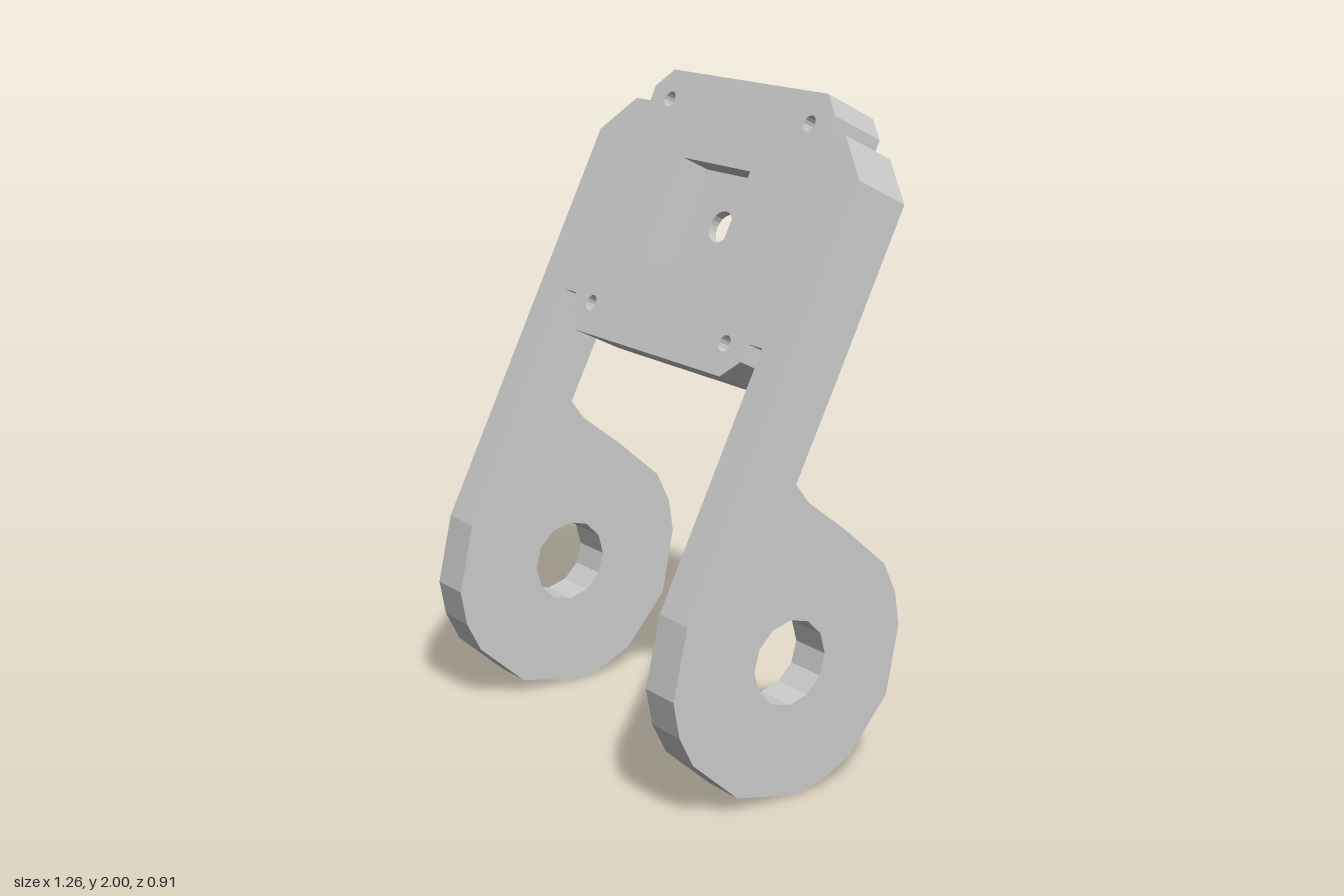
import * as THREE from 'three';

const material = new THREE.MeshStandardMaterial({ color: 0xcccccc, flatShading: true });
const pts = (list) => list.map(([x, y]) => new THREE.Vector2(x, y));

// Regular polygon used as a round hole
function roundHole(cx, cy, r, sides) {
  const ring = [];
  for (let i = 0; i < sides; i++) {
    const a = (i / sides) * Math.PI * 2;
    ring.push(new THREE.Vector2(cx + r * Math.cos(a), cy + r * Math.sin(a)));
  }
  return new THREE.Path(ring);
}

function slab(name, outline, holes, depth) {
  const shape = new THREE.Shape(pts(outline));
  shape.holes.push(...holes);
  const mesh = new THREE.Mesh(new THREE.ExtrudeGeometry(shape, { depth, bevelEnabled: false }), material);
  mesh.name = name;
  return mesh;
}

export function createModel() {
  const model = new THREE.Group();
  model.name = 'bracket';

  // Tilted mounting plate, stacked in layers from the front face backwards
  const plate = new THREE.Group();
  plate.name = 'mountingPlate';
  plate.position.set(0, 2, -0.285);
  plate.rotation.x = -Math.atan(0.5);
  model.add(plate);

  const half = [
    [0.37, -0.867], [0.433, -0.81], [0.433, -0.755], [0.63, -0.755], [0.63, -0.23],
    [0.505, -0.11], [0.433, -0.11], [0.433, -0.06], [0.37, 0],
  ];
  const outline = [...half, ...half.map(([x, y]) => [-x, y]).reverse()];

  const mid = -0.43;
  const pocket = new THREE.Path(pts([[-0.163, mid - 0.163], [0.163, mid - 0.163], [0.163, mid + 0.163], [-0.163, mid + 0.163]]));
  const layers = [
    ['pocketLayer', pocket, 0.1],
    ['webLayer', roundHole(0, mid, 0.05, 20), 0.03],
    ['counterboreLayer', roundHole(0, mid, 0.128, 20), 0.06],
  ];
  let z = 0;
  for (const [name, opening, depth] of layers) {
    const screwHoles = [];
    for (const x of [-0.337, 0.337]) for (const y of [-0.095, -0.772]) screwHoles.push(roundHole(x, y, 0.025, 14));
    const layer = slab(name, outline, [opening, ...screwHoles], depth);
    z -= depth;
    layer.position.z = z;
    plate.add(layer);
  }

  // Side arms with a faceted pivot eye; profile given as (z, y)
  const profile = [
    [0.0525, 1.325], [0.41, 0.61], [0.458, 0.397], [0.437, 0.285], [0.389, 0.19],
    [0.23, 0.048], [0.013, 0], [-0.087, 0.022], [-0.188, 0.07], [-0.331, 0.233],
    [-0.373, 0.445], [-0.357, 0.55], [-0.31, 0.65], [-0.156, 0.784], [-0.019, 0.89],
    [0.029, 0.953], [-0.1175, 1.24],
  ].map(([pz, y]) => [-pz, y]);
  for (const [name, x] of [['leftArm', 0.5], ['rightArm', -0.63]]) {
    const arm = slab(name, profile, [roundHole(-0.042, 0.42, 0.13, 12)], 0.13);
    arm.rotation.y = Math.PI / 2;
    arm.position.x = x;
    model.add(arm);
  }
  return model;
}
